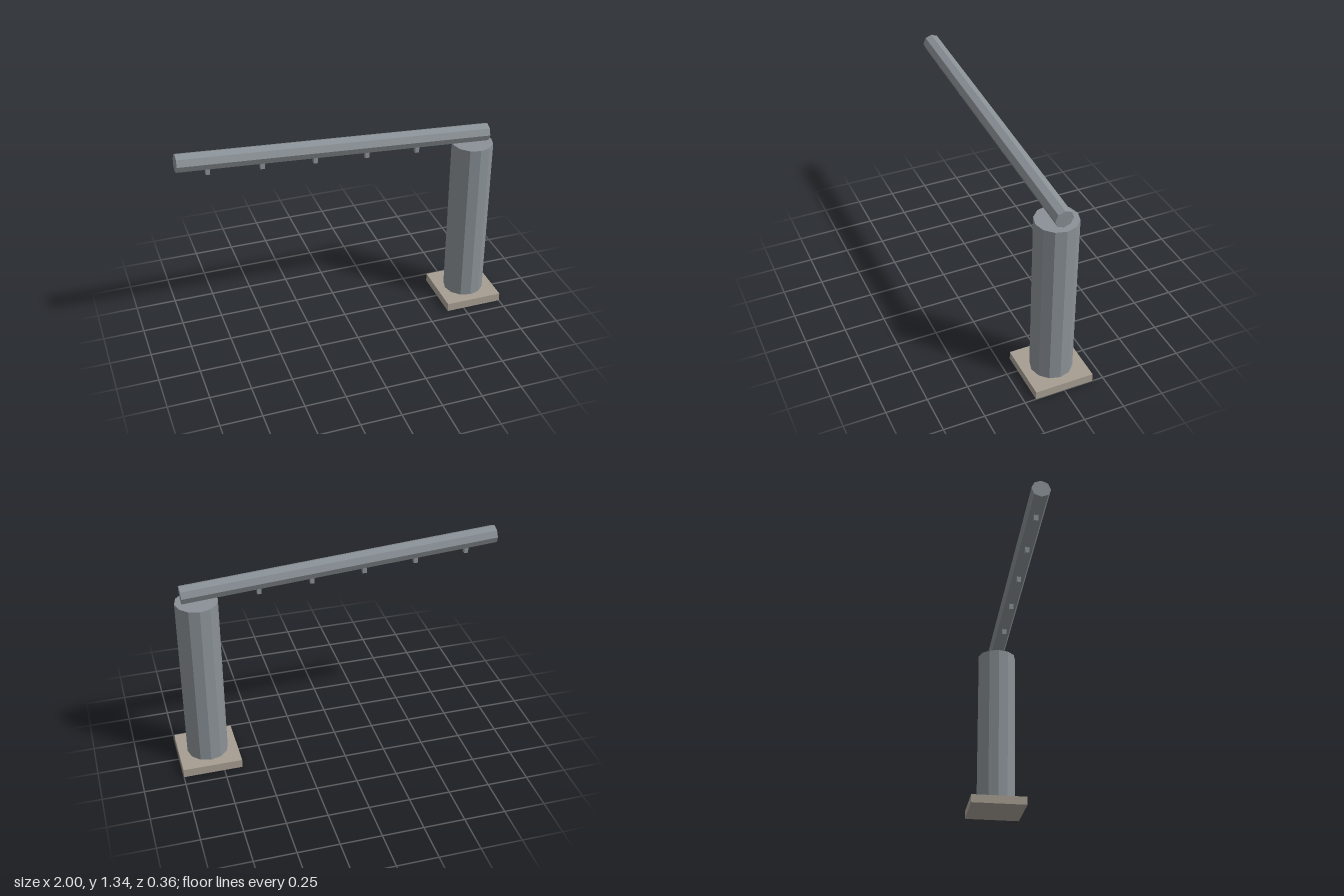
import * as THREE from 'three';

const steel = new THREE.MeshStandardMaterial({ color: 0x8a9196, flatShading: true });
const concrete = new THREE.MeshStandardMaterial({ color: 0xa69e92, flatShading: true });

export function createModel() {
  const group = new THREE.Group();
  const add = (name, geometry, material, x, y) => {
    const mesh = new THREE.Mesh(geometry, material);
    mesh.name = name;
    mesh.position.set(x, y, 0);
    group.add(mesh);
    return mesh;
  };

  // square footing and twelve-sided column
  const postX = 0.819, baseH = 0.054, postTop = 1.109;
  add('base', new THREE.BoxGeometry(0.362, baseH, 0.362), concrete, postX, baseH / 2);
  add('column', new THREE.CylinderGeometry(0.126, 0.126, postTop - baseH, 12), steel,
    postX, (postTop + baseH) / 2);

  // eight-sided arm, sloping down towards the column
  const radius = 0.055;
  const start = new THREE.Vector2(-0.9964, 1.287);
  const end = new THREE.Vector2(0.908, 1.164);
  const span = end.clone().sub(start);
  const arm = add('arm', new THREE.CylinderGeometry(radius, radius, span.length(), 8), steel,
    (start.x + end.x) / 2, (start.y + end.y) / 2);
  arm.rotation.z = span.angle() - Math.PI / 2;

  // five small pegs hanging below the arm
  for (let i = 0; i < 5; i++) {
    const x = -0.817 + i * 0.3173;
    const axisY = start.y + span.y * (x - start.x) / span.x;
    add('peg' + (i + 1), new THREE.BoxGeometry(0.025, 0.05, 0.025), steel, x, axisY - 0.063);
  }
  return group;
}
